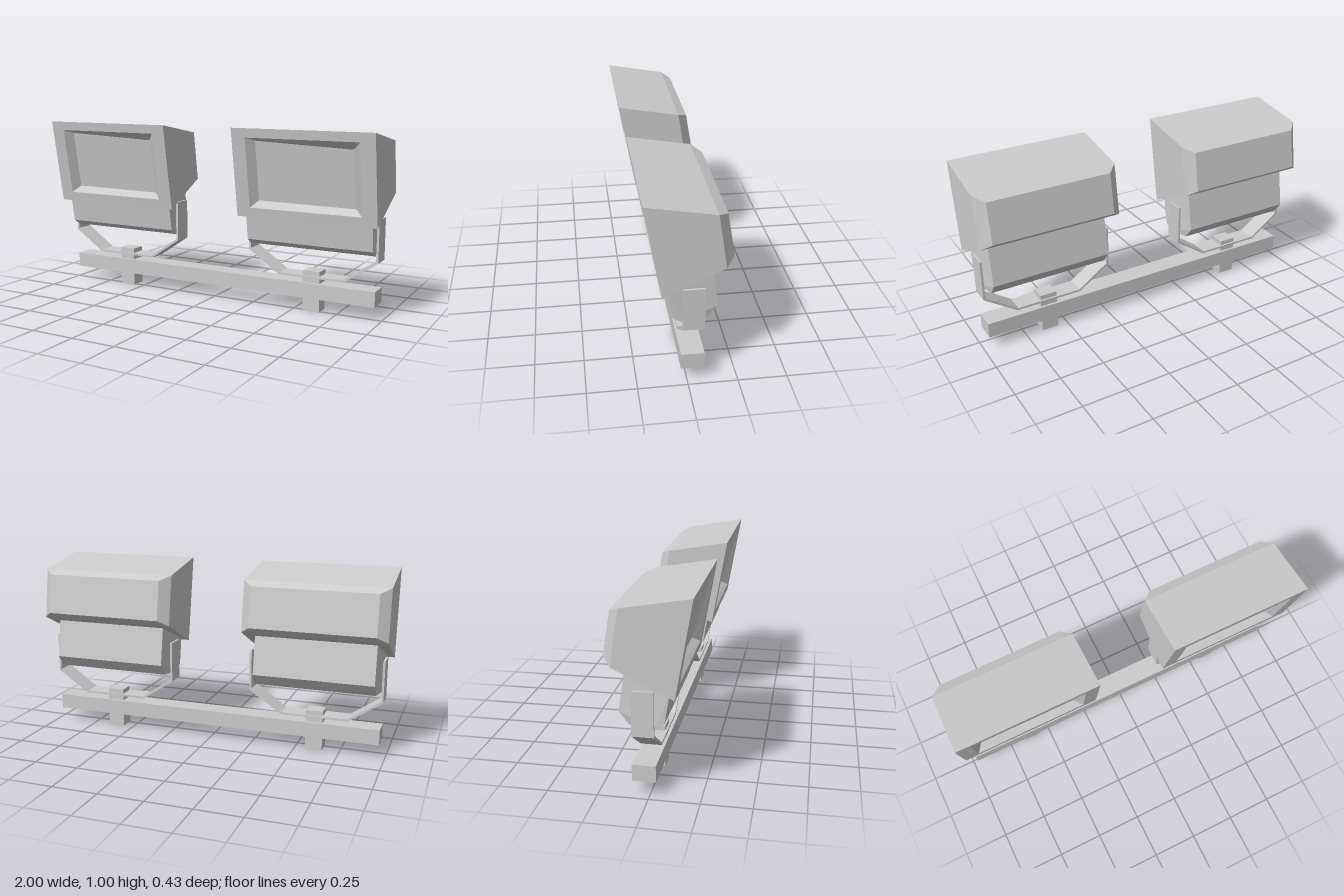
import * as THREE from 'three';

const material = new THREE.MeshStandardMaterial({ color: 0xcccccc, flatShading: true, side: THREE.DoubleSide });

function add(parent, name, geometry) {
  const mesh = new THREE.Mesh(geometry, material);
  mesh.name = name;
  parent.add(mesh);
  return mesh;
}

// Box from its limits on each axis
function box(x0, x1, y0, y1, z0, z1) {
  return new THREE.BoxGeometry(x1 - x0, y1 - y0, z1 - z0)
    .translate((x0 + x1) / 2, (y0 + y1) / 2, (z0 + z1) / 2);
}

// Skin of four-cornered rings, each ordered bottom left, bottom right, top right, top left
function loft(rings) {
  const pos = [];
  const quad = (a, b, c, d) => pos.push(...a, ...b, ...c, ...a, ...c, ...d);
  for (let r = 0; r < rings.length - 1; r++) {
    const a = rings[r], b = rings[r + 1];
    for (let i = 0; i < 4; i++) {
      const j = (i + 1) % 4;
      quad(a[i], b[i], b[j], a[j]);
    }
  }
  quad(...rings[0]);
  quad(...[...rings[rings.length - 1]].reverse());
  const g = new THREE.BufferGeometry();
  g.setAttribute('position', new THREE.Float32BufferAttribute(pos, 3));
  g.computeVertexNormals();
  return g;
}

// Ring of half width w between a bottom and a top edge
const ring = (w, yb, zb, yt, zt) => [[-w, yb, zb], [w, yb, zb], [w, yt, zt], [-w, yt, zt]];

// Side profile of [z, y] points extruded along x, centred
function extrudeX(points, width) {
  const shape = new THREE.Shape(points.map(([z, y]) => new THREE.Vector2(-z, y)));
  return new THREE.ExtrudeGeometry(shape, { depth: width, bevelEnabled: false })
    .translate(0, 0, -width / 2).rotateY(Math.PI / 2);
}

function createLamp() {
  const lamp = new THREE.Group();

  // Tilted housing with a recessed window and a chamfered back
  const frontZ = (y) => 0.215 - (1 - y) * 0.175;
  const pane = [[-0.278, 0.605], [0.27, 0.6], [0.265, 0.908], [-0.278, 0.932]]
    .map(([x, y]) => [x, y, frontZ(y) - 0.045]);
  add(lamp, 'housing', loft([
    pane,
    ring(0.315, 0.568, frontZ(0.568), 0.95, frontZ(0.95)),
    ring(0.394, 0.515, 0.13, 1, 0.215),
    ring(0.394, 0.66, -0.17, 0.94, -0.125),
    ring(0.34, 0.695, -0.215, 0.915, -0.178),
  ]));

  // Control gear box below, its back narrowed a little
  const gear = extrudeX([
    [0.1, 0.535], [0.075, 0.38], [0.03, 0.35], [-0.1, 0.355], [-0.15, 0.42], [-0.11, 0.66],
  ], 0.715);
  const p = gear.attributes.position;
  for (let i = 0; i < p.count; i++) if (p.getZ(i) < -0.09) p.setX(i, p.getX(i) * 0.93);
  gear.computeVertexNormals();
  add(lamp, 'gearBox', gear);

  // Bent strap bracket
  const half = [[0.372, 0.54], [0.372, 0.312], [0.188, 0.188]];
  const inner = [[0.184, 0.2], [0.36, 0.32], [0.36, 0.54]];
  const flip = (pts) => pts.map(([x, y]) => [-x, y]).reverse();
  const outline = [...half, ...flip(half), ...flip(inner), ...inner];
  const strap = new THREE.Shape(outline.map(([x, y]) => new THREE.Vector2(x, y)));
  add(lamp, 'bracket', new THREE.ExtrudeGeometry(strap, { depth: 0.107, bevelEnabled: false })
    .translate(0, 0, -0.08));

  // Mounting post through the crossbar
  add(lamp, 'mountingPost', box(-0.048, 0.048, 0, 0.226, -0.07, 0.017));
  return lamp;
}

export function createModel() {
  const model = new THREE.Group();
  model.name = 'twinFloodlights';
  add(model, 'crossbar', box(-0.968, 0.968, 0.075, 0.16, -0.085, 0.032));
  for (const [name, x] of [['rightLamp', -0.606], ['leftLamp', 0.606]]) {
    const lamp = createLamp();
    lamp.name = name;
    lamp.position.x = x;
    model.add(lamp);
  }
  return model;
}
